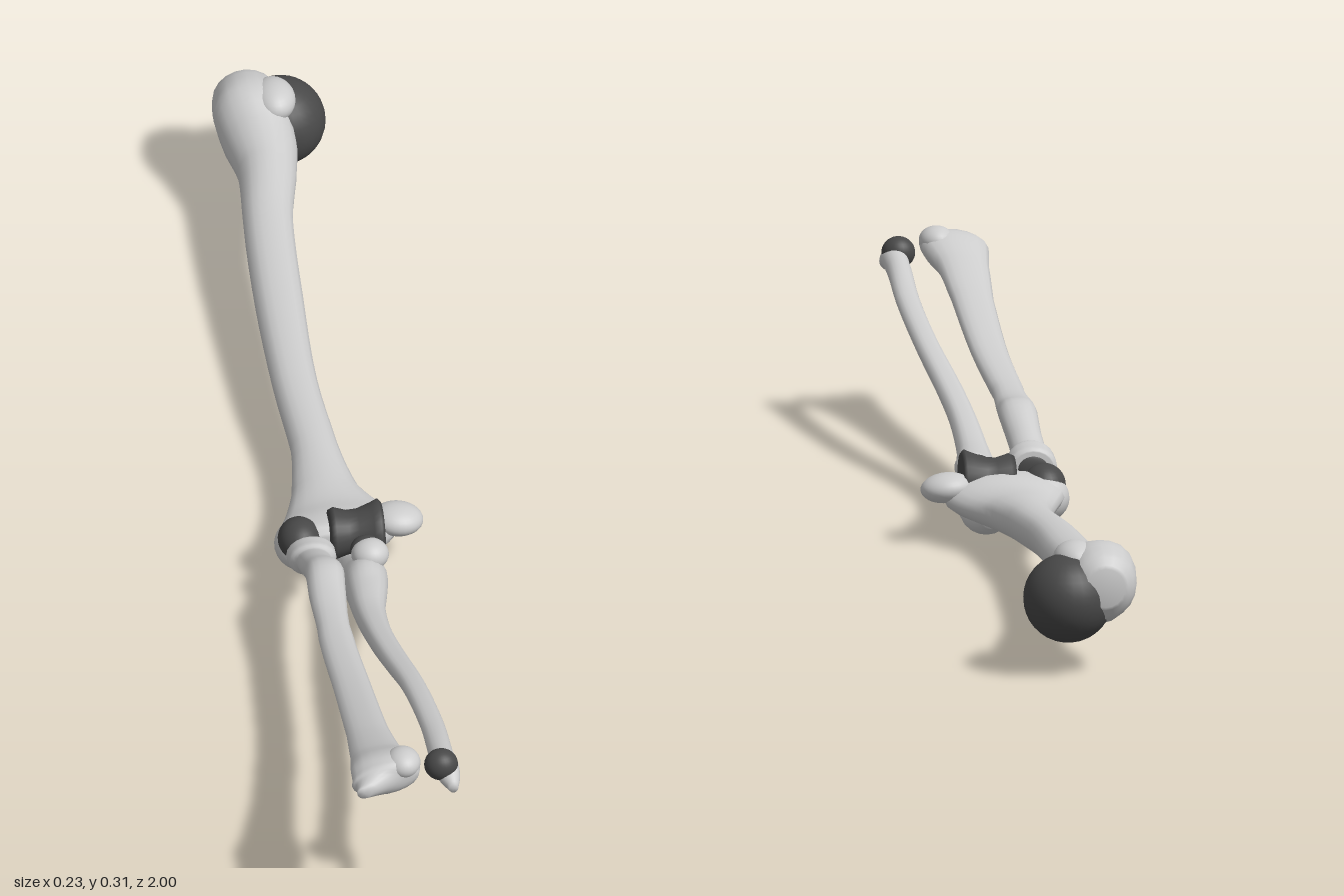
import * as THREE from 'three';

const bone = new THREE.MeshStandardMaterial({ color: 0xcccccc });
const cartilage = new THREE.MeshStandardMaterial({ color: 0x484848 });

// Loft along z. Each section: [z, x, y, rx, ry, tilt, ridge]
function loft(name, sections, steps = 4, sides = 20) {
  const centre = new THREE.CatmullRomCurve3(sections.map(([z, x, y]) => new THREE.Vector3(x, y, z)));
  const size = new THREE.CatmullRomCurve3(sections.map(([, , , rx, ry, tilt = 0]) => new THREE.Vector3(rx, ry, tilt)));
  const rows = (sections.length - 1) * steps;
  const pos = [], index = [];
  for (let i = 0; i <= rows; i++) {
    const t = i / rows, c = centre.getPoint(t), s = size.getPoint(t);
    const f = t * (sections.length - 1), k = Math.min(Math.floor(f), sections.length - 2);
    const ridge = THREE.MathUtils.lerp(sections[k][6] ?? 0, sections[k + 1][6] ?? 0, f - k);
    for (let j = 0; j < sides; j++) {
      const a = (j / sides) * Math.PI * 2;
      const r = 1 + ridge * Math.cos(3 * a - Math.PI / 2);
      const u = Math.cos(a) * s.x * r, v = Math.sin(a) * s.y * r;
      pos.push(c.x + u * Math.cos(s.z) - v * Math.sin(s.z), c.y + u * Math.sin(s.z) + v * Math.cos(s.z), c.z);
    }
  }
  for (let i = 0; i < rows; i++) {
    for (let j = 0; j < sides; j++) {
      const n = (j + 1) % sides, a = i * sides + j, b = i * sides + n;
      index.push(a, b, b + sides, a, b + sides, a + sides);
    }
  }
  // End caps
  const first = pos.length / 3, last = first + 1, top = rows * sides;
  const p0 = centre.getPoint(0), p1 = centre.getPoint(1);
  pos.push(p0.x, p0.y, p0.z, p1.x, p1.y, p1.z);
  for (let j = 0; j < sides; j++) {
    const n = (j + 1) % sides;
    index.push(first, n, j, last, top + j, top + n);
  }
  const g = new THREE.BufferGeometry();
  g.setAttribute('position', new THREE.Float32BufferAttribute(pos, 3));
  g.setIndex(index);
  g.computeVertexNormals();
  const mesh = new THREE.Mesh(g, bone);
  mesh.name = name;
  return mesh;
}

function blob(name, material, [x, y, z], [rx, ry, rz], turnY = 0, turnZ = 0) {
  const mesh = new THREE.Mesh(new THREE.SphereGeometry(1, 28, 18), material);
  mesh.name = name;
  mesh.position.set(x, y, z);
  mesh.scale.set(rx, ry, rz);
  mesh.rotation.set(0, turnY, turnZ);
  return mesh;
}

function group(name, ...parts) {
  const g = new THREE.Group();
  g.name = name;
  g.add(...parts);
  return g;
}

function upperArm() {
  const shaft = loft('humerusShaft', [
    [-0.985, -0.025, 0.145, 0.03, 0.03],
    [-0.965, -0.025, 0.145, 0.05, 0.052],
    [-0.91, -0.024, 0.143, 0.056, 0.066, 0, 0.05],
    [-0.86, -0.015, 0.13, 0.056, 0.054],
    [-0.8, -0.012, 0.122, 0.046, 0.043],
    [-0.68, -0.026, 0.11, 0.038, 0.036, 0, 0.06],
    [-0.5, -0.033, 0.093, 0.037, 0.036, 0, 0.08],
    [-0.3, -0.034, 0.081, 0.034, 0.034, 0, 0.08],
    [-0.15, -0.024, 0.072, 0.036, 0.033, 0, 0.05],
    [-0.05, -0.02, 0.066, 0.052, 0.032],
    [0.01, -0.012, 0.067, 0.078, 0.031],
    [0.055, -0.012, 0.072, 0.094, 0.035],
    [0.085, -0.02, 0.073, 0.085, 0.034],
    [0.1, -0.02, 0.073, 0.06, 0.02],
  ]);
  // Spool-shaped hinge surface
  const spool = [[0.001, -0.04], [0.036, -0.04], [0.04, -0.032], [0.034, -0.012], [0.035, 0.004],
    [0.043, 0.026], [0.048, 0.037], [0.042, 0.042], [0.001, 0.042]];
  const trochlea = new THREE.Mesh(
    new THREE.LatheGeometry(spool.map(([r, h]) => new THREE.Vector2(r, h)), 28), cartilage);
  trochlea.name = 'trochlea';
  trochlea.rotation.z = -Math.PI / 2;
  trochlea.position.set(0.008, 0.092, 0.09);
  return group('humerus', shaft, trochlea,
    blob('humerusHead', cartilage, [0.026, 0.121, -0.931], [0.069, 0.069, 0.069]),
    blob('lesserTubercle', bone, [0.012, 0.178, -0.91], [0.034, 0.028, 0.045]),
    blob('medialEpicondyle', bone, [0.077, 0.088, 0.06], [0.04, 0.023, 0.035], 0, -0.1),
    blob('lateralCondyle', bone, [-0.074, 0.065, 0.075], [0.041, 0.038, 0.045]),
    blob('capitulum', cartilage, [-0.078, 0.083, 0.086], [0.033, 0.033, 0.038]));
}

function radius() {
  const shaft = loft('radiusShaft', [
    [0.138, -0.068, 0.097, 0.031, 0.026],
    [0.145, -0.068, 0.098, 0.038, 0.032],
    [0.168, -0.068, 0.104, 0.037, 0.031],
    [0.182, -0.068, 0.11, 0.027, 0.024],
    [0.22, -0.066, 0.127, 0.027, 0.025],
    [0.27, -0.063, 0.148, 0.029, 0.031, 0, 0.08],
    [0.33, -0.066, 0.149, 0.028, 0.025, 0, 0.08],
    [0.45, -0.068, 0.155, 0.026, 0.021, 0.1, 0.1],
    [0.6, -0.064, 0.178, 0.028, 0.02, 0.1, 0.1],
    [0.78, -0.063, 0.222, 0.032, 0.021, 0.1, 0.08],
    [0.88, -0.062, 0.253, 0.04, 0.025, 0.12, 0.06],
    [0.94, -0.056, 0.272, 0.053, 0.032, 0.15, 0.06],
    [0.965, -0.06, 0.272, 0.052, 0.028, 0.15],
    [0.975, -0.075, 0.27, 0.032, 0.02, 0.1],
    [0.996, -0.096, 0.272, 0.011, 0.01],
  ]);
  return group('radius', shaft,
    blob('radiusHeadFace', cartilage, [-0.068, 0.097, 0.141], [0.027, 0.022, 0.006]),
    blob('radiusDorsalRidge', bone, [-0.03, 0.288, 0.945], [0.027, 0.022, 0.03]));
}

function ulna() {
  const shaft = loft('ulnaShaft', [
    [0.035, 0.01, 0.04, 0.014, 0.012],
    [0.055, 0.01, 0.037, 0.026, 0.022],
    [0.1, 0.012, 0.034, 0.033, 0.029],
    [0.14, 0.012, 0.044, 0.037, 0.039],
    [0.18, 0.011, 0.061, 0.036, 0.045],
    [0.23, 0.008, 0.07, 0.031, 0.039, 0, 0.08],
    [0.3, 0.003, 0.085, 0.024, 0.031, 0, 0.1],
    [0.4, 0.005, 0.116, 0.02, 0.026, 0, 0.12],
    [0.5, 0.014, 0.148, 0.019, 0.022, 0, 0.12],
    [0.62, 0.028, 0.185, 0.018, 0.019, 0, 0.1],
    [0.78, 0.037, 0.226, 0.018, 0.017, 0, 0.08],
    [0.89, 0.036, 0.255, 0.019, 0.018],
    [0.935, 0.038, 0.262, 0.02, 0.02],
    [0.955, 0.042, 0.255, 0.015, 0.014],
    [0.972, 0.045, 0.25, 0.007, 0.008],
  ]);
  return group('ulna', shaft,
    blob('coronoidProcess', bone, [0.022, 0.098, 0.158], [0.029, 0.024, 0.028]),
    blob('ulnaNotchFace', cartilage, [0.018, 0.098, 0.145], [0.025, 0.022, 0.022]),
    blob('ulnaHead', cartilage, [0.03, 0.272, 0.937], [0.026, 0.025, 0.024]));
}

export function createModel() {
  return group('armBones', upperArm(), radius(), ulna());
}
